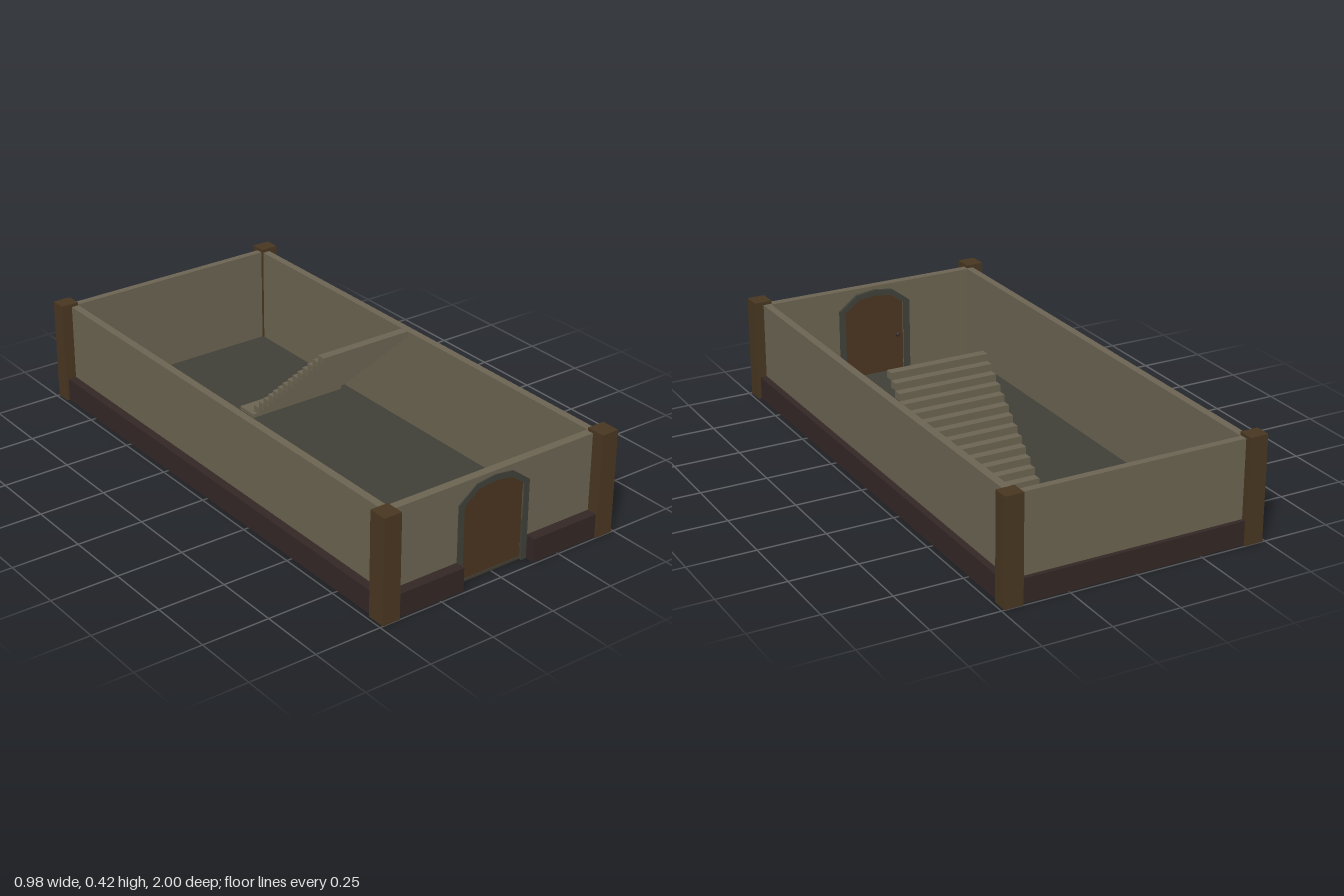
import * as THREE from 'three';

const mat = (color) => new THREE.MeshStandardMaterial({ color, flatShading: true });

export function createModel() {
  const model = new THREE.Group();
  const stone = mat(0x6b6351), plinth = mat(0x332725), timber = mat(0x483621);
  const doorWood = mat(0x4a3420), frameStone = mat(0x3f4038), floorStone = mat(0x3f3f37);

  const add = (name, geometry, material) => {
    const mesh = new THREE.Mesh(geometry, material);
    mesh.name = name;
    model.add(mesh);
    return mesh;
  };
  // box given by its lower and upper limits
  const box = (name, material, x0, x1, y0, y1, z0, z1) =>
    add(name, new THREE.BoxGeometry(x1 - x0, y1 - y0, z1 - z0), material)
      .position.set((x0 + x1) / 2, (y0 + y1) / 2, (z0 + z1) / 2);
  // outline extruded between two depths
  const slab = (name, material, shape, z0, z1) =>
    add(name, new THREE.ExtrudeGeometry(shape, { depth: z1 - z0, bevelEnabled: false }), material)
      .position.set(0, 0, z0);

  // Floor
  box('floor', floorStone, -0.447, 0.452, 0.004, 0.012, -0.96, 0.95);

  // Side and back walls with their plinths
  box('rightWall', stone, -0.447, -0.418, 0.005, 0.378, -0.96, 0.94);
  box('leftWall', stone, 0.425, 0.454, 0.005, 0.378, -0.96, 0.94);
  box('backWall', stone, -0.44, 0.44, 0.005, 0.378, -0.974, -0.947);
  box('rightPlinth', plinth, -0.479, -0.43, 0, 0.088, -0.95, 0.94);
  box('leftPlinth', plinth, 0.435, 0.479, 0, 0.088, -0.95, 0.94);
  box('backPlinth', plinth, -0.44, 0.44, 0, 0.088, -0.99, -0.955);

  // Doorway outlines: outer and inner faceted arches
  const outer = [[-0.153, 0], [0.145, 0], [0.145, 0.3], [0.072, 0.355], [-0.004, 0.365], [-0.08, 0.355], [-0.153, 0.3]];
  const inner = [[-0.13, 0], [0.123, 0], [0.123, 0.29], [0.066, 0.333], [-0.004, 0.342], [-0.072, 0.333], [-0.13, 0.29]];
  const points = (list) => list.map(([x, y]) => new THREE.Vector2(x, y));
  // an arch cut out of a larger outline, open at the ground
  const around = (outline, arch) =>
    new THREE.Shape(points([...outline, arch[0], ...arch.slice(2).reverse(), arch[1]]));

  // Front wall, with the doorway cut out, and its split plinth
  const wallOutline = [[0.44, 0], [0.44, 0.378], [-0.44, 0.378], [-0.44, 0]];
  slab('frontWall', stone, around(wallOutline, [inner[0], inner[1], ...inner.slice(2)]), 0.921, 0.953);
  box('frontPlinthRight', plinth, -0.44, -0.153, 0, 0.088, 0.945, 0.992);
  box('frontPlinthLeft', plinth, 0.145, 0.44, 0, 0.088, 0.945, 0.992);

  // Door frame, door and inside handle
  slab('doorFrame', frameStone, around([...outer.slice(1), outer[0]], inner), 0.909, 0.957);
  slab('door', doorWood, new THREE.Shape(points(inner)), 0.926, 0.948);
  const handle = add('doorHandle', new THREE.SphereGeometry(0.009, 8, 6), plinth);
  handle.position.set(-0.105, 0.16, 0.92);

  // Corner posts
  for (const side of [-1, 1]) {
    const x0 = side < 0 ? -0.489 : 0.421;
    box('frontPost', timber, x0, x0 + 0.068, 0, 0.39, 0.929, 1);
    box('backPost', timber, x0, x0 + 0.068, 0, 0.39, -1, -0.94);
  }

  // Open stair of overlapping treads, rising towards the front
  box('stairFoot', stone, -0.016, 0.39, 0, 0.026, -0.47, -0.383);
  const steps = 15, rise = 0.0277, run = 0.0307;
  for (let i = 0; i < steps; i++) {
    const z = -0.43 + i * run, y = i * rise;
    box('stairTread', stone, -0.002, 0.376, y + 0.001, y + rise, z, z + run + 0.003);
  }
  return model;
}
